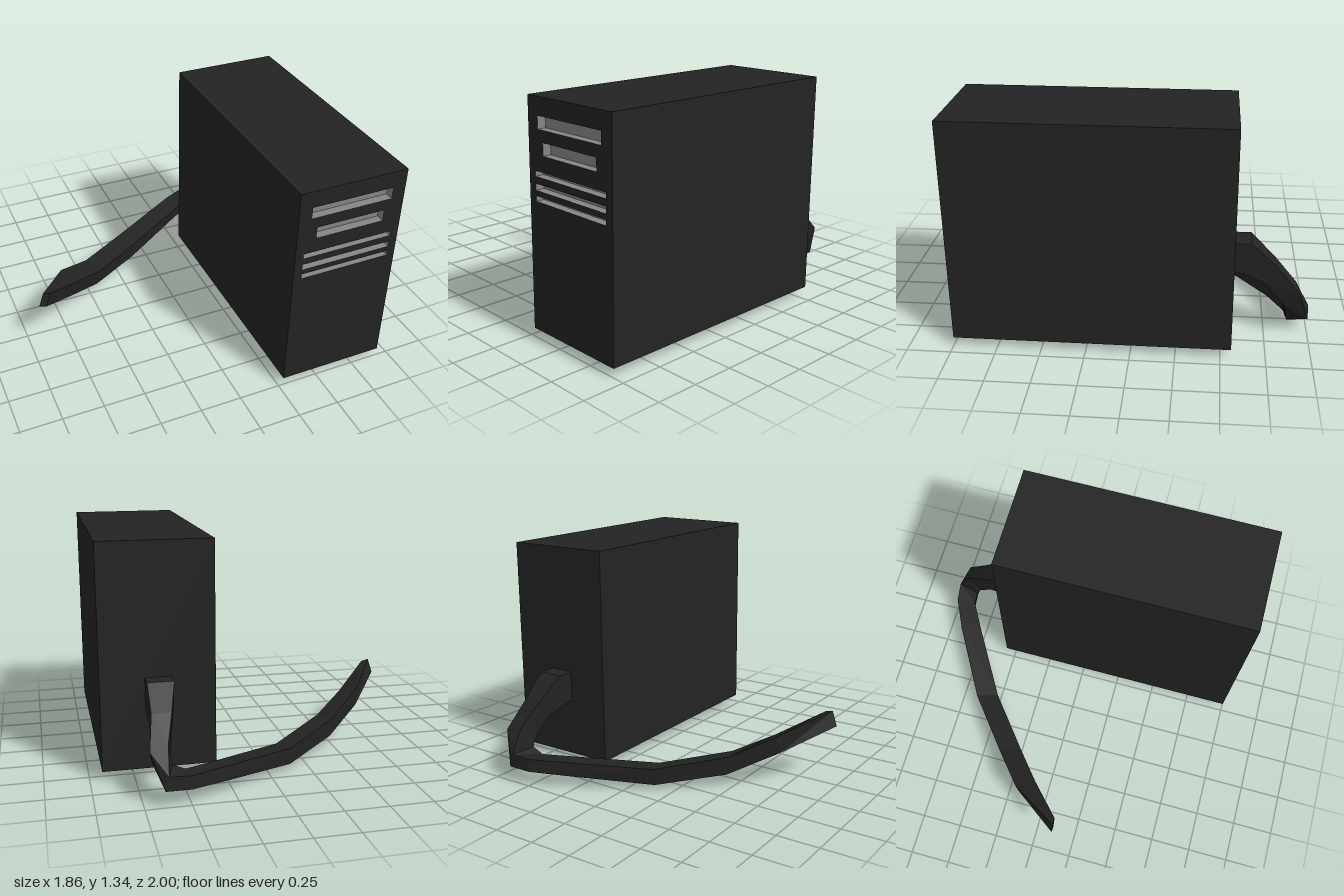
import * as THREE from 'three';

const dark = new THREE.MeshStandardMaterial({ color: 0x232323 });
dark.name = 'charcoal';
const grey = new THREE.MeshStandardMaterial({ color: 0x858585 });
grey.name = 'slot grey';

// Box without its +z face; inward = true turns it inside out
function openBox(w, h, d, inward = false) {
  const g = new THREE.BoxGeometry(w, h, d);
  const all = Array.from(g.index.array);
  const index = [...all.slice(0, 24), ...all.slice(30)];
  g.setIndex(inward ? index.reverse() : index);
  g.clearGroups();
  g.computeVertexNormals();
  return g;
}

function rect(Type, x0, x1, y0, y1) {
  const s = new Type();
  s.moveTo(x0, y0);
  s.lineTo(x1, y0);
  s.lineTo(x1, y1);
  s.lineTo(x0, y1);
  s.closePath();
  return s;
}

function add(group, name, geometry, material, x = 0, y = 0, z = 0) {
  const m = new THREE.Mesh(geometry, material);
  m.name = name;
  m.position.set(x, y, z);
  group.add(m);
}

// Four-sided tube through rings of corners, flat shaded, closed at the end
function loft(rings) {
  const out = [];
  const quad = (a, b, c, d) => [a, b, c, a, c, d].forEach((p) => out.push(...p));
  for (let r = 0; r < rings.length - 1; r++) {
    for (let i = 0; i < 4; i++) {
      const j = (i + 1) % 4;
      quad(rings[r][i], rings[r + 1][i], rings[r + 1][j], rings[r][j]);
    }
  }
  const e = rings[rings.length - 1];
  quad(e[3], e[2], e[1], e[0]);
  const g = new THREE.BufferGeometry();
  g.setAttribute('position', new THREE.Float32BufferAttribute(out, 3));
  g.computeVertexNormals();
  return g;
}

export function createModel() {
  const model = new THREE.Group();
  model.name = 'computerTower';

  // Case: x0, x1, y0, y1
  const [x0, x1, y0, y1] = [0.28, 0.93, 0.05, 1.34];
  const back = -0.56, front = 1;
  add(model, 'caseShell', openBox(x1 - x0, y1 - y0, front - back), dark,
    (x0 + x1) / 2, (y0 + y1) / 2, (front + back) / 2);

  // Front panel with recessed drive bays and vents
  const slots = [
    ['upperDriveBay', 0.358, 0.852, 1.17, 1.24],
    ['lowerDriveBay', 0.398, 0.815, 1.035, 1.105],
    ['topVent', 0.33, 0.882, 0.917, 0.947],
    ['middleVent', 0.33, 0.882, 0.842, 0.878],
    ['bottomVent', 0.33, 0.882, 0.782, 0.812],
  ];
  const panel = rect(THREE.Shape, x0, x1, y0, y1);
  const depth = 0.05;
  for (const [name, a, b, c, d] of slots) {
    panel.holes.push(rect(THREE.Path, a, b, c, d));
    add(model, name, openBox(b - a, d - c, depth, true), grey,
      (a + b) / 2, (c + d) / 2, front - depth / 2);
  }
  add(model, 'frontPanel', new THREE.ShapeGeometry(panel), dark, 0, 0, front);

  // Cable: leaves the back, drops, turns and runs along the ground
  const rings = [
    [[0.68, 0.58, -0.55], [0.53, 0.58, -0.55], [0.53, 0.395, -0.55], [0.68, 0.395, -0.55]],
    [[0.68, 0.58, -0.66], [0.53, 0.58, -0.66], [0.53, 0.395, -0.61], [0.68, 0.395, -0.61]],
    [[0.68, 0.45, -0.8], [0.57, 0.45, -0.8], [0.56, 0.34, -0.74], [0.68, 0.34, -0.74]],
    [[0.71, 0.29, -0.94], [0.61, 0.32, -0.92], [0.59, 0.22, -0.84], [0.69, 0.2, -0.86]],
    [[0.64, 0.09, -1], [0.62, 0.17, -1], [0.58, 0.18, -0.86], [0.62, 0.07, -0.88]],
    [[0.5, 0.085, -0.99], [0.5, 0.16, -0.985], [0.51, 0.15, -0.86], [0.51, 0.062, -0.87]],
    [[0.33, 0.075, -0.91], [0.33, 0.155, -0.905], [0.35, 0.14, -0.77], [0.35, 0.065, -0.78]],
    [[-0.14, 0.025, -0.63], [-0.14, 0.125, -0.64], [-0.09, 0.11, -0.51], [-0.1, 0, -0.52]],
    [[-0.47, 0.075, -0.37], [-0.48, 0.185, -0.37], [-0.43, 0.17, -0.24], [-0.45, 0.065, -0.25]],
    [[-0.71, 0.195, -0.17], [-0.7, 0.3, -0.19], [-0.63, 0.265, -0.08], [-0.67, 0.175, -0.07]],
    [[-0.93, 0.315, 0.12], [-0.9, 0.405, 0.12], [-0.855, 0.395, 0.12], [-0.89, 0.3, 0.12]],
  ];
  add(model, 'cable', loft(rings), dark);

  return model;
}
